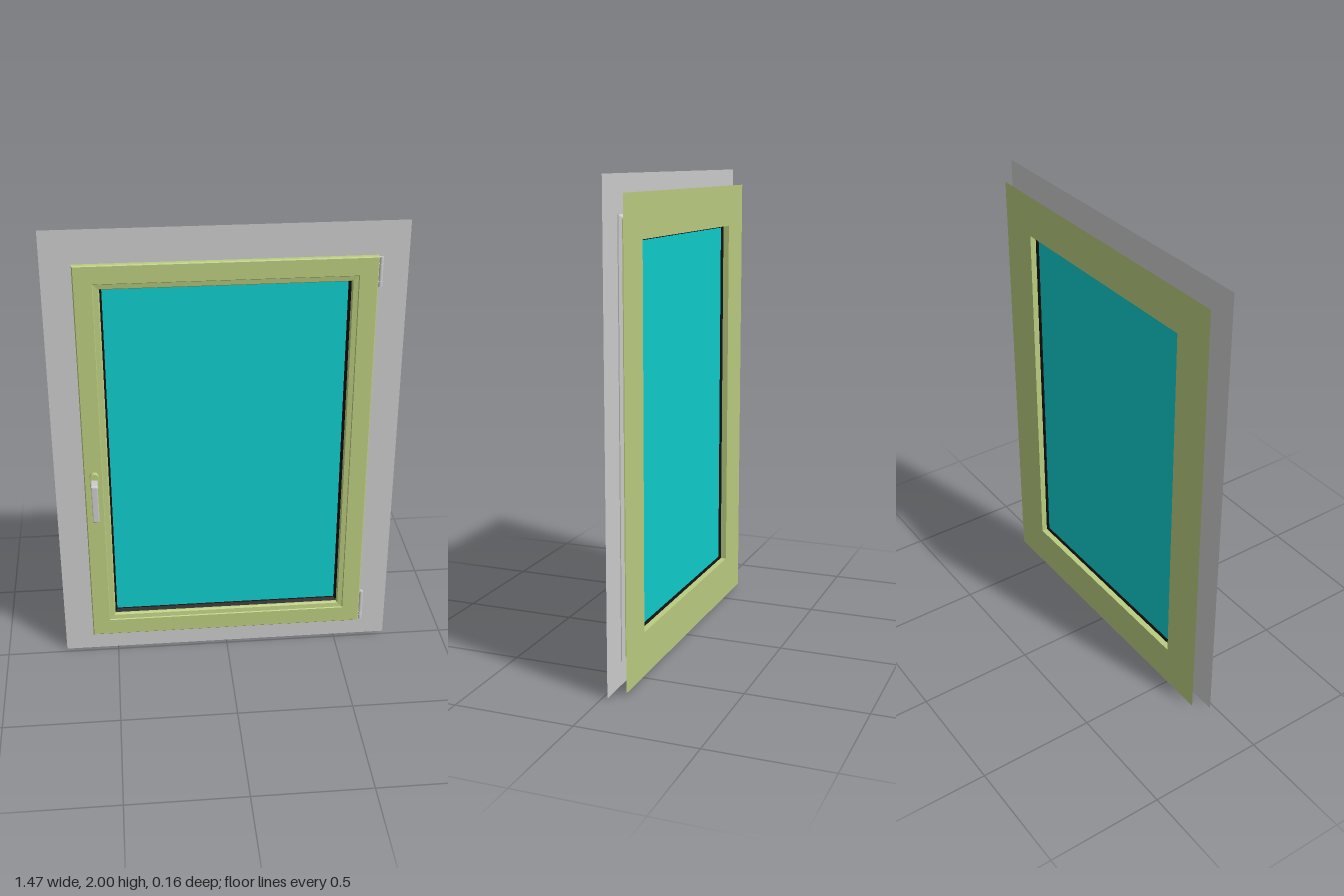
import * as THREE from 'three';

const mat = (color, side = THREE.FrontSide) =>
  new THREE.MeshStandardMaterial({ color, side, flatShading: true });
const GREY = 0xcccccc, GREEN = 0xbacc7f;

// Glazed opening; all frame rings are offsets of this rectangle
const HALF_W = 0.505, Y0 = 0.195, Y1 = 1.755;

function add(group, name, geometry, material, x = 0, y = 0, z = 0) {
  const mesh = new THREE.Mesh(geometry, material);
  mesh.name = name;
  mesh.position.set(x, y, z);
  group.add(mesh);
  return mesh;
}

// Mitred frame: sweeps a closed profile of [offset, z] round the opening
function frameRing(profile) {
  const corner = ([d, z], k) => [
    [HALF_W + d, Y0 - d, z], [HALF_W + d, Y1 + d, z],
    [-HALF_W - d, Y1 + d, z], [-HALF_W - d, Y0 - d, z],
  ][k % 4];
  const pos = [];
  profile.forEach((p, i) => {
    const q = profile[(i + 1) % profile.length];
    for (let k = 0; k < 4; k++) {
      const a = corner(p, k), b = corner(p, k + 1), c = corner(q, k + 1), d = corner(q, k);
      pos.push(...a, ...b, ...c, ...a, ...c, ...d);
    }
  });
  const g = new THREE.BufferGeometry();
  g.setAttribute('position', new THREE.Float32BufferAttribute(pos, 3));
  g.computeVertexNormals();
  return g;
}

function rectPath(path, x, y0, y1) {
  path.moveTo(-x, y0);
  path.lineTo(x, y0);
  path.lineTo(x, y1);
  path.lineTo(-x, y1);
  path.closePath();
  return path;
}

// Thin sheet with a rectangular opening
function sheet(x, y0, y1, d) {
  const s = rectPath(new THREE.Shape(), x, y0, y1);
  s.holes.push(rectPath(new THREE.Path(), HALF_W + d, Y0 - d, Y1 + d));
  return new THREE.ShapeGeometry(s);
}

function createHandle() {
  const g = new THREE.Group();
  g.name = 'handle';
  const smooth = (c) => new THREE.MeshStandardMaterial({ color: c });

  // Oval rosette
  const r = 0.016;
  const oval = new THREE.Shape();
  oval.absarc(0, 0.026, r, 0, Math.PI);
  oval.absarc(0, -0.026, r, Math.PI, Math.PI * 2);
  oval.closePath();
  add(g, 'rosette', new THREE.ExtrudeGeometry(oval, {
    depth: 0.014, bevelEnabled: true, bevelSize: 0.003, bevelThickness: 0.003,
    bevelSegments: 2, curveSegments: 12,
  }), smooth(GREEN), 0, 0.895, 0.008);

  // Neck and lever: L-shaped side outline, drawn as (z, y)
  const l = new THREE.Shape();
  l.moveTo(0.022, 0.907);
  l.lineTo(0.070, 0.907);
  l.quadraticCurveTo(0.077, 0.907, 0.077, 0.900);
  l.lineTo(0.077, 0.738);
  l.quadraticCurveTo(0.077, 0.733, 0.072, 0.733);
  l.lineTo(0.068, 0.733);
  l.quadraticCurveTo(0.064, 0.733, 0.064, 0.738);
  l.lineTo(0.063, 0.858);
  l.quadraticCurveTo(0.060, 0.874, 0.044, 0.874);
  l.lineTo(0.022, 0.874);
  l.closePath();
  const lever = new THREE.ExtrudeGeometry(l, {
    depth: 0.018, bevelEnabled: true, bevelSize: 0.003, bevelThickness: 0.005,
    bevelSegments: 3, curveSegments: 8,
  });
  lever.translate(0, 0, -0.009);
  lever.rotateY(-Math.PI / 2);
  add(g, 'lever', lever, smooth(GREY));
  g.position.x = -0.566;
  return g;
}

// Hinge: stacked knuckles on a pin with a flat leaf against the sash
function createHinge(name, y0, y1, split) {
  const g = new THREE.Group();
  g.name = name;
  const grey = new THREE.MeshStandardMaterial({ color: GREY });
  const cyl = (n, r, a, b) =>
    add(g, n, new THREE.CylinderGeometry(r, r, b - a, 16), grey, 0.619, (a + b) / 2, -0.003);
  cyl('pin', 0.006, y0 + 0.002, y1 - 0.002);
  const cuts = [y0, ...split, y1];
  for (let i = 0; i < cuts.length - 1; i++)
    cyl('knuckle', 0.009, cuts[i] + 0.003, cuts[i + 1] - 0.003);
  add(g, 'leaf', new THREE.BoxGeometry(0.012, (y1 - y0) * 0.8, 0.012), grey,
    0.613, (y0 + y1) / 2, -0.013);
  return g;
}

export function createModel() {
  const model = new THREE.Group();
  model.name = 'window';

  // Wall surround and rear facing
  add(model, 'surround', sheet(0.735, 0, 2, 0.08), mat(GREY, THREE.DoubleSide), 0, 0, -0.02);
  add(model, 'rearFacing', sheet(0.688, 0.012, 1.932, 0), mat(GREEN, THREE.DoubleSide), 0, 0, -0.081);

  // Outer frame body, slightly tapered towards the back
  add(model, 'frameBody', frameRing([
    [0.072, -0.08], [0.08, -0.025], [0, -0.025], [0, -0.08],
  ]), mat(GREEN));

  // Grey seal between frame and sash
  add(model, 'sashSeal', frameRing([
    [0.085, -0.032], [0.095, -0.024], [0.095, -0.015], [0.02, -0.015], [0.02, -0.032],
  ]), mat(GREY));

  // Opening sash with chamfered edge and sloped glazing bead
  add(model, 'sash', frameRing([
    [0.105, -0.015], [0.105, 0.003], [0.101, 0.007], [0.028, 0.007],
    [0.025, 0.003], [0.005, 0.0], [0, -0.008], [0, -0.025],
  ]), mat(GREEN));

  // Black glazing gasket and pane
  add(model, 'gasket', frameRing([
    [0.001, -0.055], [0.001, -0.012], [-0.008, -0.03], [-0.008, -0.05],
  ]), mat(0x101010));
  add(model, 'glass', new THREE.BoxGeometry(HALF_W * 2 - 0.01, Y1 - Y0 - 0.01, 0.008),
    mat(0x10cccc), 0, (Y0 + Y1) / 2, -0.041);

  // Fittings
  model.add(createHandle());
  model.add(createHinge('lowerHinge', 0.093, 0.25, [0.12, 0.135]));
  model.add(createHinge('upperHinge', 1.728, 1.858, [1.755, 1.83]));
  return model;
}
